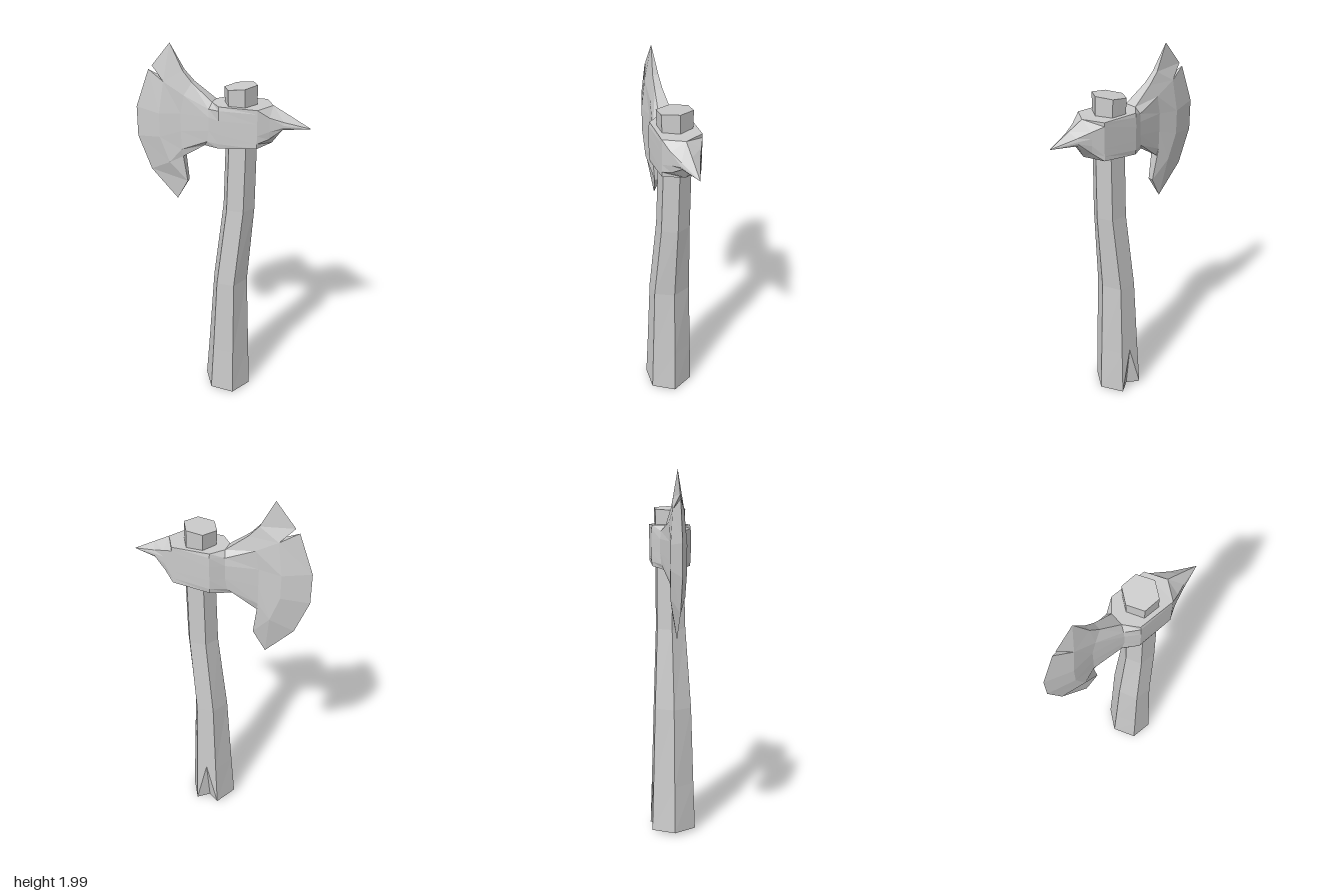
import * as THREE from 'three';

const material = new THREE.MeshStandardMaterial({ color: 0xcccccc, flatShading: true });

// Collects triangles and quads into one faceted mesh
class Facets {
  constructor() { this.pos = []; }
  tri(a, b, c) { this.pos.push(...a, ...b, ...c); }
  quad(a, b, c, d) { this.tri(a, b, c); this.tri(a, c, d); }
  mesh(name) {
    const g = new THREE.BufferGeometry();
    g.setAttribute('position', new THREE.Float32BufferAttribute(this.pos, 3));
    g.computeVertexNormals();
    const m = new THREE.Mesh(g, material);
    m.name = name;
    return m;
  }
}

// Six-sided bent handle with a split in the back face at its foot
function createHandle() {
  // height, left x, right x, half width of flat faces, half depth, centre z, tilt, notch depth
  const sections = [
    [0.015, -0.09, 0.175, 0.065, 0.122, 0, -0.07, 0.045],
    [0.29, -0.07, 0.165, 0.058, 0.113, 0, 0, 0],
    [0.73, -0.04, 0.15, 0.048, 0.1, 0, 0, 0],
    [1.17, 0.012, 0.182, 0.045, 0.077, -0.005, 0, 0],
    [1.55, 0.022, 0.186, 0.044, 0.072, -0.01, 0, 0],
    [1.815, 0.013, 0.183, 0.042, 0.08, -0.01, 0.12, 0],
  ];
  const rings = sections.map(([y, x0, x1, h, d, zc, tilt, notch]) => {
    const cx = (x0 + x1) / 2, r = (x1 - x0) / 2;
    return [[r, 0], [h, -d], [0, -d + notch], [-h, -d], [-r, 0], [-h, d], [h, d]]
      .map(([x, z]) => [cx + x, y + tilt * x, zc + z]);
  });
  const f = new Facets(), n = 7;
  for (let k = 0; k < rings.length - 1; k++) {
    for (let i = 0; i < n; i++) {
      const j = (i + 1) % n, lo = rings[k], hi = rings[k + 1];
      if (i === 2) f.quad(lo[j], hi[j], hi[i], lo[i]); // diagonal meets the split's apex
      else f.quad(lo[i], lo[j], hi[j], hi[i]);
    }
  }
  const bottom = rings[0], top = rings[rings.length - 1];
  for (let i = 0; i < n; i++) {
    const j = (i + 1) % n;
    f.tri([0.0425, 0.015, 0], bottom[j], bottom[i]);
    f.tri([0.098, 1.815, -0.01], top[i], top[j]);
  }
  return f.mesh('handle');
}

// Axe head: rows run from the top outline to the bottom outline,
// columns from cutting edge through bevel, neck, socket and cheek to the spike tip
function createHead() {
  const tip = [0.457, 1.63, 0];
  const upper = [[-0.27, 2.0, 0], [-0.2, 1.87, 0.015], [-0.15, 1.815, 0.02], [-0.04, 1.73, 0.035],
    [0.015, 1.73, 0.1], [0.21, 1.73, 0.1], [0.265, 1.732, 0], [0.345, 1.69, 0], tip];
  const notchTop = [[-0.37, 1.88, 0], [-0.3, 1.81, 0.028], [-0.19, 1.75, 0.034], [-0.05, 1.7, 0.06],
    [0.015, 1.71, 0.104], [0.21, 1.71, 0.1], [0.265, 1.69, 0.075], [0.33, 1.665, 0.045], tip];
  const notchBottom = [[-0.39, 1.86, 0], ...notchTop.slice(1)];
  const lower = [
    [[-0.465, 1.66, 0], [-0.325, 1.645, 0.04], [-0.21, 1.655, 0.032], [-0.05, 1.66, 0.065],
      [0.015, 1.66, 0.105], [0.21, 1.66, 0.1], [0.265, 1.655, 0.075], [0.33, 1.65, 0.05], tip],
    [[-0.465, 1.5, 0], [-0.325, 1.52, 0.04], [-0.21, 1.56, 0.032], [-0.05, 1.59, 0.065],
      [0.015, 1.59, 0.105], [0.21, 1.6, 0.1], [0.265, 1.62, 0.075], [0.33, 1.64, 0.05], tip],
    [[-0.395, 1.32, 0], [-0.275, 1.385, 0.038], [-0.21, 1.46, 0.03], [-0.06, 1.53, 0.06],
      [0.015, 1.54, 0.104], [0.21, 1.56, 0.1], [0.263, 1.58, 0.07], [0.325, 1.625, 0.04], tip],
    [[-0.25, 1.165, 0], [-0.185, 1.28, 0.015], [-0.205, 1.42, 0.02], [-0.08, 1.5, 0.035],
      [0.015, 1.515, 0.1], [0.21, 1.535, 0.1], [0.262, 1.54, 0], [0.308, 1.612, 0], tip],
  ];
  const f = new Facets();
  const back = ([x, y, z]) => [x, y, -z];

  // Front and back skins
  const skin = (rows) => {
    for (let s = 0; s < rows.length - 1; s++) {
      for (let c = 0; c < tip.length * 3 - 1; c++) {
        const q = [rows[s][c], rows[s + 1][c], rows[s + 1][c + 1], rows[s][c + 1]];
        f.quad(...q);
        f.quad(...q.map(back).reverse());
      }
    }
  };
  // Narrow strip joining front to back along a row
  const strip = (row, count, up) => {
    for (let c = 0; c < count; c++) {
      const q = [row[c], row[c + 1], back(row[c + 1]), back(row[c])];
      f.quad(...(up ? q : q.reverse()));
    }
  };
  skin([upper, notchTop]);
  skin([notchBottom, ...lower]);
  strip(upper, 8, true);
  strip(lower[3], 8, false);
  // Walls of the nick in the cutting edge
  strip(notchTop, 1, false);
  strip(notchBottom, 1, true);

  const head = f.mesh('axeHead');
  head.position.z = -0.01;
  return head;
}

export function createModel() {
  const group = new THREE.Group();
  group.name = 'axe';
  group.add(createHandle(), createHead());
  return group;
}
